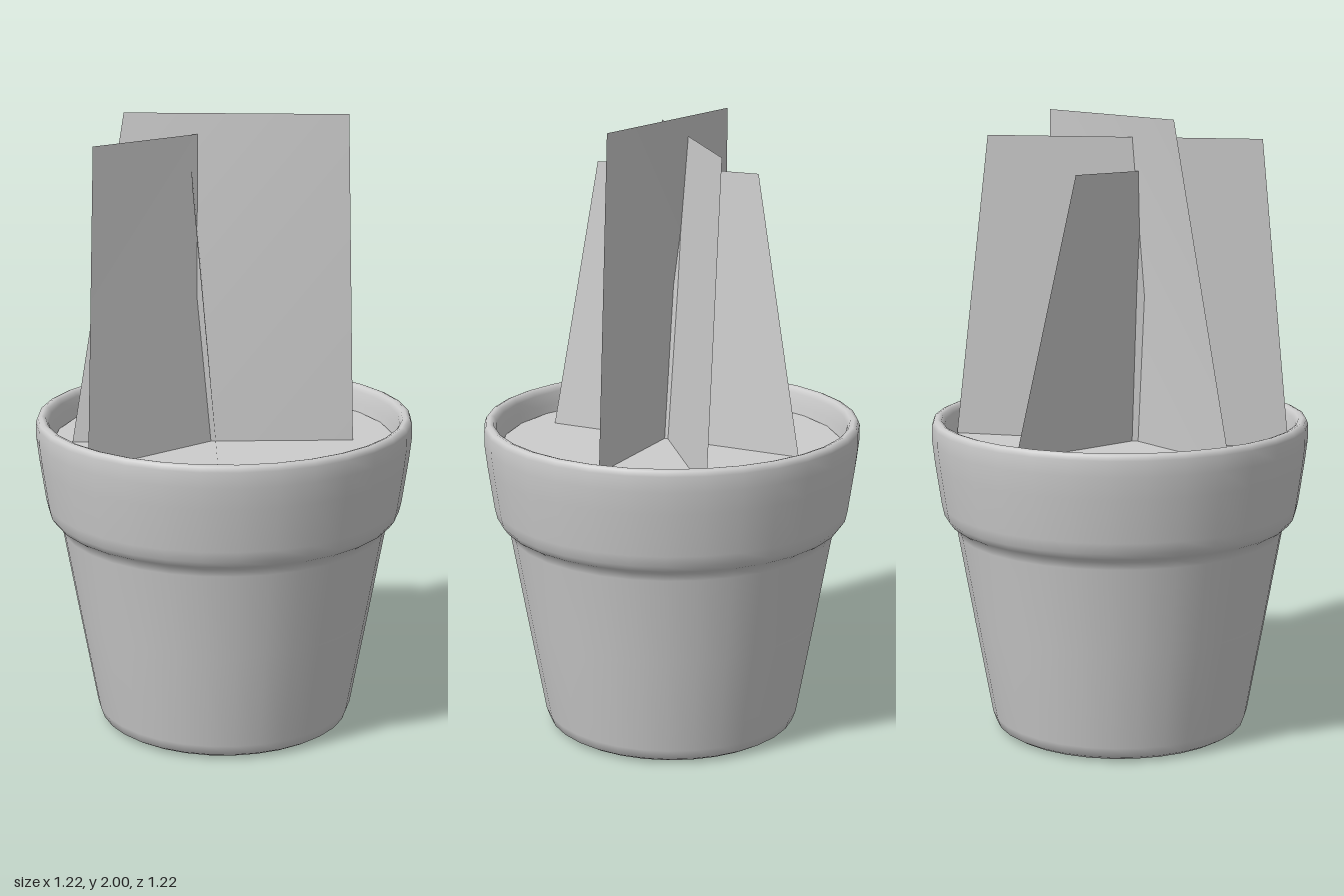
import * as THREE from 'three';

const clay = new THREE.MeshStandardMaterial({ color: 0xcccccc });
clay.name = 'plain grey';
clay.side = THREE.DoubleSide;

const SOIL_Y = 0.95;

function addMesh(group, name, geometry) {
  const mesh = new THREE.Mesh(geometry, clay);
  mesh.name = name;
  group.add(mesh);
  return mesh;
}

// A flat leaf panel: straight top edge at height y, wider straight foot on the soil.
// Each end is [x, z].
function leafPanel(y, topLeft, topRight, footLeft, footRight) {
  const corners = [
    [footLeft[0], SOIL_Y, footLeft[1]], [footRight[0], SOIL_Y, footRight[1]],
    [topRight[0], y, topRight[1]], [topLeft[0], y, topLeft[1]],
  ];
  const g = new THREE.BufferGeometry();
  g.setAttribute('position', new THREE.Float32BufferAttribute(corners.flat(), 3));
  g.setIndex([0, 1, 2, 0, 2, 3]);
  g.computeVertexNormals();
  return g;
}

export function createModel() {
  const model = new THREE.Group();
  model.name = 'pottedPlant';

  // Pot: tapered body, rounded foot, thick collar and hollow rim
  const profile = [
    [0, 0.005], [0.36, 0.005], [0.39, 0.01], [0.41, 0.022], [0.422, 0.055],
    [0.48, 0.38], [0.53, 0.665], [0.537, 0.69], [0.557, 0.704], [0.572, 0.725], [0.58, 0.76],
    [0.6, 0.9], [0.608, 0.97], [0.608, 1.02], [0.602, 1.035], [0.59, 1.04],
    [0.577, 1.036], [0.568, 1.02], [0.56, 0.98], [0.548, 0.92],
  ].map(([r, y]) => new THREE.Vector2(r, y));
  addMesh(model, 'pot', new THREE.LatheGeometry(profile, 32));

  // Soil disc inside the rim
  const soil = addMesh(model, 'soil', new THREE.CircleGeometry(0.553, 24).rotateX(-Math.PI / 2));
  soil.position.y = SOIL_Y;

  // Three crossed leaf panels
  const leaves = new THREE.Group();
  leaves.name = 'leaves';
  addMesh(leaves, 'wideLeaf',
    leafPanel(1.935, [-0.45, -0.135], [0.42, 0], [-0.545, -0.085], [0.545, 0.095]));
  addMesh(leaves, 'tallLeaf',
    leafPanel(2, [-0.18, -0.26], [0.25, 0.3], [-0.36, -0.335], [0.25, 0.335]));
  addMesh(leaves, 'shortLeaf',
    leafPanel(1.83, [-0.31, 0.14], [0.12, -0.245], [-0.355, 0.285], [0.305, -0.315]));
  model.add(leaves);

  // Stand on the ground
  model.children[0].position.y = -0.005;
  return model;
}
